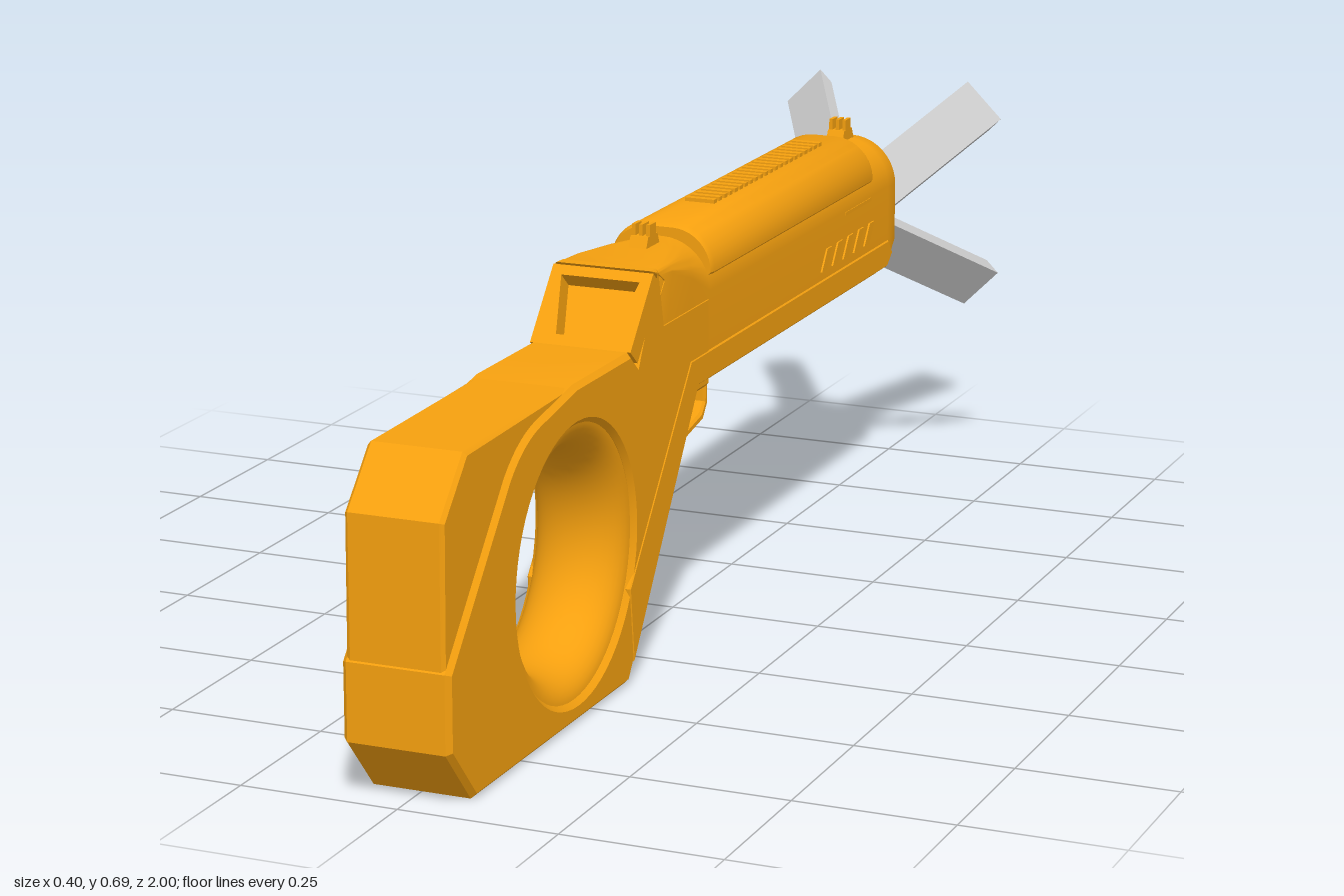
import * as THREE from 'three';
import { toCreasedNormals } from 'three/addons/utils/BufferGeometryUtils.js';

const orange = new THREE.MeshStandardMaterial({ color: 0xf5a00f, side: THREE.DoubleSide });
const grey = new THREE.MeshStandardMaterial({ color: 0xcccccc });

function add(parent, name, geo, mat = orange) {
  const mesh = new THREE.Mesh(geo, mat);
  mesh.name = name;
  parent.add(mesh);
  return mesh;
}

const poly = (pts) => new THREE.Shape(pts.map(([a, b]) => new THREE.Vector2(a, b)));

// Side profile in (z, y), extruded across x and centred
function sideExtrude(shape, width, bevel = 0) {
  const g = new THREE.ExtrudeGeometry(shape, {
    depth: width - 2 * bevel, bevelEnabled: bevel > 0, bevelSize: bevel,
    bevelThickness: bevel, bevelOffset: -bevel, bevelSegments: 1, curveSegments: 32,
  });
  g.translate(0, 0, bevel - width / 2);
  g.rotateY(-Math.PI / 2);
  return toCreasedNormals(g, 0.45);
}

// Cross-section: flat base with chamfers, upright sides, rounded top corners
function section({ z, w = 0.084, b = 0.39, top = 0.625, r = 0.08, c = 0.02 }) {
  const pts = [[c - w, b], [w - c, b], [w, b + c]];
  for (const [side, start] of [[1, 0], [-1, Math.PI / 2]]) {
    for (let i = 0; i <= 10; i++) {
      const a = start + (i / 10) * Math.PI / 2;
      pts.push([side * (w - r) + r * Math.cos(a), top - r + r * Math.sin(a)]);
    }
  }
  pts.push([-w, b + c]);
  return pts.map(([x, y]) => [x, y, z]);
}

// Skin over sections ordered from front to back, with end caps
function loft(sections) {
  const rings = sections.map(section);
  const n = rings[0].length;
  const index = [];
  for (let i = 0; i < rings.length - 1; i++) {
    for (let j = 0; j < n; j++) {
      const k = (j + 1) % n;
      const a = i * n + j, b = i * n + k, c = b + n, d = a + n;
      index.push(a, d, c, a, c, b);
    }
  }
  const last = (rings.length - 1) * n;
  for (let j = 1; j < n - 1; j++) index.push(0, j, j + 1, last, last + j + 1, last + j);
  const g = new THREE.BufferGeometry();
  g.setAttribute('position', new THREE.Float32BufferAttribute(rings.flat(2), 3));
  g.setIndex(index);
  return toCreasedNormals(g.toNonIndexed(), 0.5);
}

function createStock(parent) {
  // Stock and grip, with a round opening and a notch for the window
  const s = new THREE.Shape();
  s.moveTo(1, 0.21);
  s.lineTo(0.8, 0.44);
  s.quadraticCurveTo(0.75, 0.49, 0.68, 0.5);
  [[0.56, 0.52], [0.36, 0.52], [0.333, 0.497], [0.243, 0.602], [0.27, 0.625], [0.25, 0.625],
    [0.23, 0.54], [0.05, 0.54], [0.05, 0.39], [0.1, 0.39], [0.37, 0], [0.92, 0], [1, 0.09]]
    .forEach(([z, y]) => s.lineTo(z, y));
  s.closePath();
  s.holes.push(new THREE.Path().absarc(0.56, 0.245, 0.212, 0, Math.PI * 2, true));
  add(parent, 'stock', sideExtrude(s, 0.17, 0.008));

  // Slightly narrower cheek piece
  add(parent, 'cheekPiece', sideExtrude(poly([[0.998, 0.19], [0.998, 0.43], [0.92, 0.513],
    [0.56, 0.518], [0.6, 0.48], [0.74, 0.46]]), 0.154, 0.006));

  // Rounded lining of the opening
  const profile = [];
  for (let i = 0; i <= 20; i++) {
    const a = -Math.PI / 2 + (i / 20) * Math.PI;
    profile.push(new THREE.Vector2(0.217 - 0.052 * Math.cos(a), 0.077 * Math.sin(a)));
  }
  const ring = new THREE.LatheGeometry(profile, 56);
  ring.rotateZ(Math.PI / 2);
  add(parent, 'openingLining', ring).position.set(0, 0.245, 0.56);

  // Sloping window frame
  const frame = poly([[-0.083, 0], [0.083, 0], [0.083, 0.135], [-0.083, 0.135]]);
  frame.holes.push(poly([[-0.045, 0.018], [-0.065, 0.118], [0.065, 0.118], [0.045, 0.018]]));
  const window = add(parent, 'windowFrame',
    new THREE.ExtrudeGeometry(frame, { depth: 0.035, bevelEnabled: false }));
  window.position.set(0, 0.497, 0.333);
  window.rotation.x = -0.709;
}

function createBarrel(parent) {
  add(parent, 'barrel', loft([
    { z: 0.25, r: 0.012 }, { z: 0.2, r: 0.018 }, { z: 0.12, r: 0.045 }, { z: 0.05 },
    { z: -0.75 }, { z: -0.785, b: 0.425, top: 0.622 },
    { z: -0.805, b: 0.44, top: 0.61, w: 0.074, r: 0.07 },
  ]));
  const cover = { w: 0.088, b: 0.57, c: 0.004, r: 0.068 };
  add(parent, 'topCover', loft([
    { ...cover, z: 0.05, top: 0.64, w: 0.085, r: 0.065 }, { ...cover, z: 0.04, top: 0.645 },
    { ...cover, z: -0.66, top: 0.645 }, { ...cover, z: -0.67, top: 0.64, w: 0.085, r: 0.065 },
  ]));

  // Ribs along the top
  for (let i = 0; i < 22; i++) {
    add(parent, 'topRib', new THREE.BoxGeometry(0.05, 0.012, 0.012))
      .position.set(0, 0.645, -0.115 - i * 0.022);
  }

  // Thin raised trim along grip and lower barrel
  add(parent, 'lowerTrim', sideExtrude(poly([[0.355, 0.03], [0.37, 0.15], [0.13, 0.45],
    [-0.75, 0.45], [-0.77, 0.425], [-0.745, 0.405], [0.1, 0.405]]), 0.173, 0.002));
  add(parent, 'underPlate', new THREE.BoxGeometry(0.09, 0.012, 0.65)).position.set(0, 0.388, -0.225);

  // Slanted louvres and a slim seam on both sides
  for (let i = 0; i < 5; i++) {
    const z = -0.43 - i * 0.05;
    add(parent, 'louvre', sideExtrude(poly([[z, 0.465], [z - 0.022, 0.465],
      [z - 0.047, 0.5], [z - 0.025, 0.5]]), 0.174));
  }
  add(parent, 'sideSeam', new THREE.BoxGeometry(0.17, 0.006, 0.12)).position.set(0, 0.54, -0.605);
}

function createSight(parent, name, z) {
  const g = new THREE.Group();
  g.name = name;
  g.position.set(0, 0.62, z);
  add(g, 'sightBase', sideExtrude(poly([[-0.028, 0], [0.028, 0], [0.018, 0.022], [-0.018, 0.022]]), 0.03));
  for (const x of [-0.012, 0, 0.012]) {
    add(g, 'sightPost', new THREE.BoxGeometry(0.006, 0.026, 0.024)).position.set(x, 0.027, 0);
  }
  parent.add(g);
}

function createTrigger(parent) {
  const guard = poly([[0.12, 0.39], [0.168, 0.285], [0.13, 0.252], [0.09, 0.252], [0.045, 0.28],
    [-0.06, 0.3], [-0.08, 0.325], [-0.08, 0.39]]);
  guard.holes.push(poly([[0.105, 0.375], [-0.066, 0.375], [-0.066, 0.33], [-0.052, 0.314],
    [0.05, 0.294], [0.093, 0.267], [0.125, 0.267], [0.15, 0.288]]));
  add(parent, 'triggerGuard', sideExtrude(guard, 0.055, 0.004));
  add(parent, 'trigger', sideExtrude(poly([[0.06, 0.385], [0.02, 0.385], [0.027, 0.345],
    [0.045, 0.305], [0.058, 0.31], [0.046, 0.345]]), 0.02, 0.002));
}

// Four splayed fins around the muzzle axis
function createFins(parent) {
  const blade = (inner, outer, width, z1) => {
    const r = (z, off) => 0.232 + off + 0.82 * (z + 1);
    const pts = [-0.76, z1].map((z) => [z, 0.232 - 0.82 * (z + 1)]);
    return sideExtrude(poly([[pts[0][0], pts[0][1] + inner], [pts[0][0], pts[0][1] + outer],
      [pts[1][0], pts[1][1] + outer], [pts[1][0], pts[1][1] + inner]]), width);
  };
  for (let i = 0; i < 4; i++) {
    const fin = new THREE.Group();
    fin.name = 'fin';
    fin.position.y = 0.485;
    fin.rotation.z = Math.PI / 4 + i * Math.PI / 2;
    add(fin, 'finPlate', blade(-0.008, 0.008, 0.088, -1), grey);
    for (const s of [-1, 1]) {
      add(fin, 'finEdge', blade(-0.022, -0.008, 0.028, -1), grey).position.x = s * 0.03;
    }
    add(fin, 'finInlay', blade(-0.015, -0.007, 0.034, -0.995));
    parent.add(fin);
  }
}

export function createModel() {
  const model = new THREE.Group();
  model.name = 'launcher';
  createStock(model);
  createBarrel(model);
  createSight(model, 'rearSight', 0.115);
  createSight(model, 'frontSight', -0.735);
  createTrigger(model);
  createFins(model);
  return model;
}
